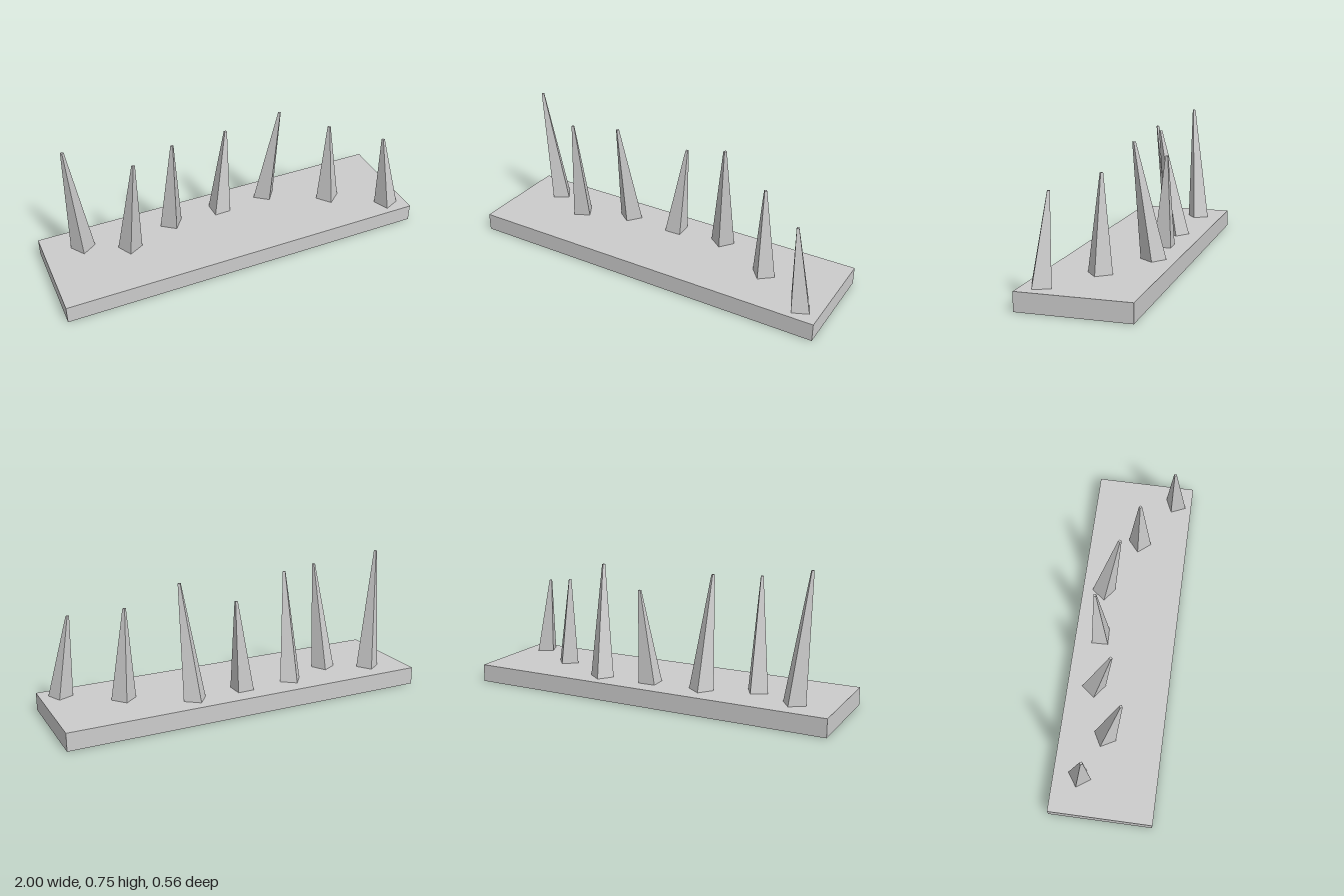
import * as THREE from 'three';

const BASE_HEIGHT = 0.095;

// Four-sided tapered spike: square foot, small flat tip shifted sideways
function makeSpike(material, { foot, diagonal, tip, top }) {
  const radius = Math.hypot(...diagonal);
  const height = top - BASE_HEIGHT;
  const geometry = new THREE.CylinderGeometry(radius * 0.14, radius, height, 4);
  geometry.rotateY(-Math.atan2(diagonal[1], diagonal[0]));
  geometry.translate(0, height / 2, 0);

  // Lean by shearing every corner in proportion to its height
  const p = geometry.attributes.position;
  for (let i = 0; i < p.count; i++) {
    const t = p.getY(i) / height;
    p.setX(i, p.getX(i) + t * (tip[0] - foot[0]));
    p.setZ(i, p.getZ(i) + t * (tip[1] - foot[1]));
  }
  const flat = geometry.toNonIndexed();
  flat.computeVertexNormals();

  const spike = new THREE.Mesh(flat, material);
  spike.position.set(foot[0], BASE_HEIGHT, foot[1]);
  return spike;
}

export function createModel() {
  const model = new THREE.Group();
  model.name = 'spikeTrap';
  const material = new THREE.MeshStandardMaterial({ color: 0xcccccc, flatShading: true });

  // Slab
  const base = new THREE.Mesh(new THREE.BoxGeometry(2, BASE_HEIGHT, 0.56), material);
  base.name = 'base';
  base.position.y = BASE_HEIGHT / 2;
  model.add(base);

  // Spikes from right to left: foot and tip centres (x, z), foot half-diagonal, top height
  const spikes = [
    { foot: [-0.791, -0.137], diagonal: [0.063, 0.012], tip: [-0.843, -0.091], top: 0.747 },
    { foot: [-0.56, -0.033], diagonal: [0.061, 0.018], tip: [-0.534, 0.053], top: 0.675 },
    { foot: [-0.289, -0.134], diagonal: [0.065, -0.009], tip: [-0.3, -0.03], top: 0.676 },
    { foot: [0.005, -0.139], diagonal: [0.047, 0.044], tip: [0.053, -0.163], top: 0.587 },
    { foot: [0.288, -0.16], diagonal: [0.065, -0.009], tip: [0.325, -0.07], top: 0.69 },
    { foot: [0.613, 0.007], diagonal: [0.065, 0.006], tip: [0.593, 0.005], top: 0.575 },
    { foot: [0.893, 0.188], diagonal: [0.059, 0.023], tip: [0.839, 0.168], top: 0.525 },
  ];
  spikes.forEach((spec, i) => {
    const spike = makeSpike(material, spec);
    spike.name = `spike${i + 1}`;
    model.add(spike);
  });

  return model;
}
